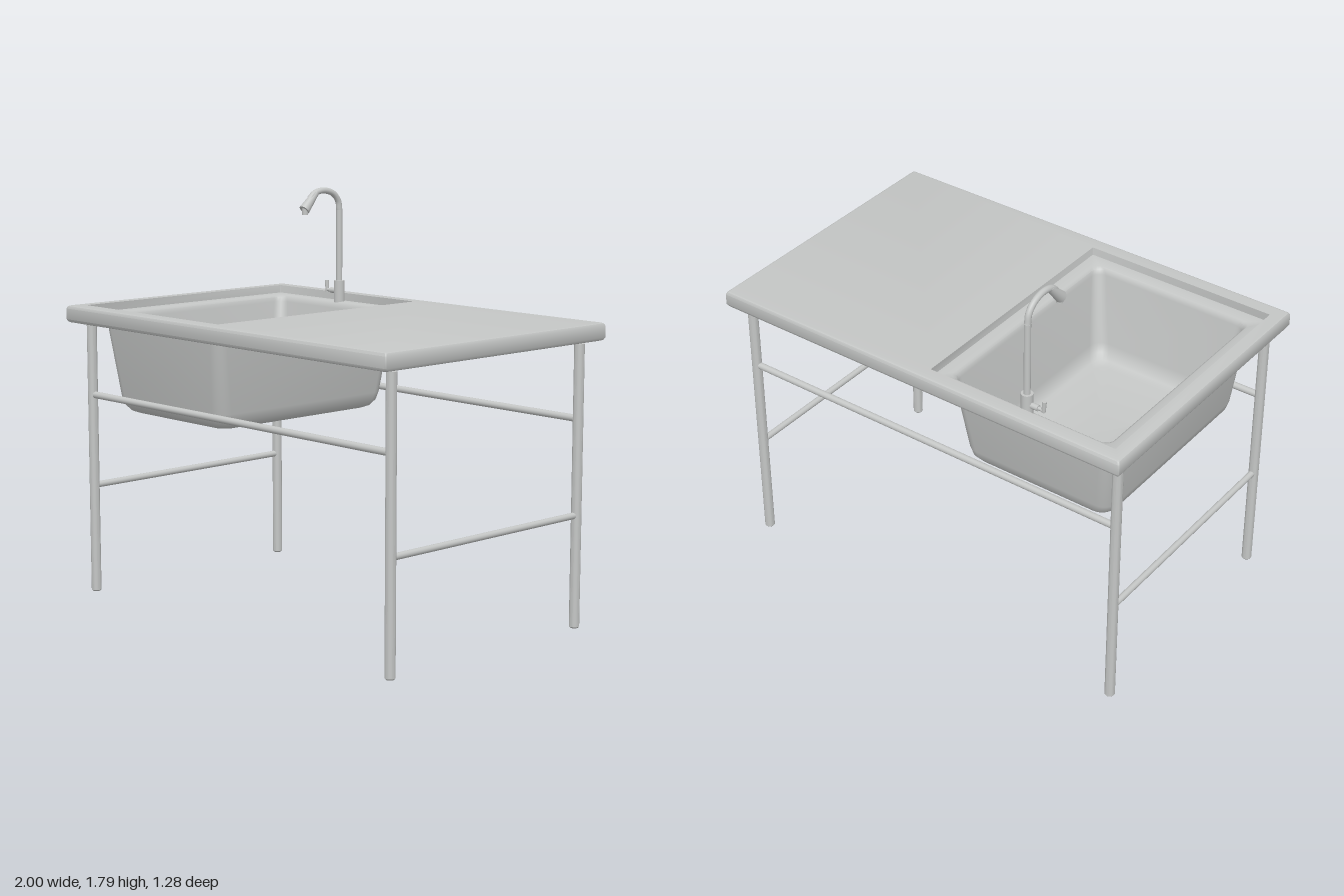
import * as THREE from 'three';
import { toCreasedNormals } from 'three/addons/utils/BufferGeometryUtils.js';

const steel = new THREE.MeshStandardMaterial({ color: 0xc4c6c5 });
steel.name = 'brushedSteel';

// Rounded rectangle cross-section: [x0, x1, z0, z1, y, corner radius]
function ring([x0, x1, z0, z1, y, r]) {
  const pts = [], steps = 6;
  const corners = [[x1 - r, z1 - r], [x0 + r, z1 - r], [x0 + r, z0 + r], [x1 - r, z0 + r]];
  corners.forEach(([cx, cz], c) => {
    for (let i = 0; i <= steps; i++) {
      const a = (c + i / steps) * Math.PI / 2;
      pts.push([cx + r * Math.cos(a), y, cz + r * Math.sin(a)]);
    }
  });
  return pts;
}

// Skin joining successive cross-sections
function loft(sections, crease = 0.7) {
  const rings = sections.map(ring), n = rings[0].length, index = [];
  for (let j = 0; j < rings.length - 1; j++) {
    for (let i = 0; i < n; i++) {
      const k = (i + 1) % n, a = j * n + i, b = j * n + k, c = a + n, d = b + n;
      index.push(a, c, b, b, c, d);
    }
  }
  const g = new THREE.BufferGeometry();
  g.setAttribute('position', new THREE.Float32BufferAttribute(rings.flat(2), 3));
  g.setIndex(index);
  return toCreasedNormals(g, crease);
}

export function createModel() {
  const model = new THREE.Group();
  model.name = 'sinkTable';

  const add = (name, geometry, parent = model) => {
    const mesh = new THREE.Mesh(geometry, steel);
    mesh.name = name;
    parent.add(mesh);
    return mesh;
  };
  // Round bar between two points
  const bar = (name, from, to, r0, r1 = r0, parent = model) => {
    const a = new THREE.Vector3(...from), b = new THREE.Vector3(...to);
    const dir = b.clone().sub(a);
    const mesh = add(name, new THREE.CylinderGeometry(r1, r0, dir.length(), 20), parent);
    mesh.position.copy(a).add(b).multiplyScalar(0.5);
    mesh.quaternion.setFromUnitVectors(new THREE.Vector3(0, 1, 0), dir.normalize());
    return mesh;
  };

  // Basin outside, from the bottom centre up to the counter
  const basinTop = [-0.885, -0.105, -0.525, 0.525, 1.22, 0.05];
  add('basinOutside', loft([
    [-0.5, -0.5, 0, 0, 0.82, 0],
    [-0.80, -0.19, -0.425, 0.425, 0.82, 0.05],
    [-0.825, -0.165, -0.45, 0.45, 0.83, 0.06],
    [-0.845, -0.148, -0.47, 0.47, 0.855, 0.06],
    [-0.855, -0.14, -0.48, 0.48, 0.89, 0.06],
    basinTop,
  ]));

  // Counter: underside, softly rounded edge and top around the opening
  const slab = (inset, y) => [-1 + inset, 1 - inset, -0.64 + inset, 0.64 - inset, y, 0.005];
  const opening = [-0.94, -0.05, -0.575, 0.57, 1.295, 0.003];
  add('counter', loft([
    basinTop,
    slab(0.014, 1.22), slab(0.006, 1.223), slab(0, 1.234),
    slab(0, 1.281), slab(0.006, 1.292), slab(0.014, 1.295),
    opening,
  ]));

  // Recessed ledge and basin inside, down to the floor
  add('basinInside', loft([
    opening,
    [-0.938, -0.052, -0.573, 0.568, 1.26, 0.003],
    [-0.885, -0.105, -0.53, 0.515, 1.258, 0.035],
    [-0.874, -0.116, -0.52, 0.507, 1.25, 0.04],
    [-0.868, -0.122, -0.514, 0.502, 1.23, 0.045],
    [-0.835, -0.155, -0.475, 0.467, 0.91, 0.06],
    [-0.825, -0.165, -0.463, 0.455, 0.87, 0.06],
    [-0.805, -0.185, -0.443, 0.435, 0.845, 0.06],
    [-0.775, -0.215, -0.41, 0.40, 0.835, 0.05],
    [-0.5, -0.5, 0, 0, 0.835, 0],
  ]));

  // Legs with slightly rounded feet
  const legProfile = [[0, 0], [0.017, 0], [0.022, 0.006], [0.022, 1.21], [0, 1.21]]
    .map(([x, y]) => new THREE.Vector2(x, y));
  const legGeometry = toCreasedNormals(new THREE.LatheGeometry(legProfile, 20), 0.6);
  const legX = 0.938, legZ = 0.547;
  for (const [zName, sz] of [['front', 1], ['back', -1]]) {
    for (const [xName, sx] of [['Left', 1], ['Right', -1]]) {
      add(`${zName}${xName}Leg`, legGeometry).position.set(sx * legX, 0, sz * legZ);
    }
    bar(`${zName}Rail`, [-0.92, 0.895, sz * legZ], [0.92, 0.895, sz * legZ], 0.015);
  }
  for (const [name, sx] of [['left', 1], ['right', -1]]) {
    bar(`${name}Rail`, [sx * legX, 0.485, -0.53], [sx * legX, 0.485, 0.53], 0.014);
  }

  // Faucet
  const faucet = new THREE.Group();
  faucet.name = 'faucet';
  faucet.position.set(-0.505, 0, -0.547);
  model.add(faucet);
  bar('faucetBase', [0, 1.255, 0], [0, 1.355, 0], 0.025, 0.025, faucet);
  bar('riser', [0, 1.35, 0], [0, 1.68, 0], 0.014, 0.014, faucet);
  const neck = new THREE.CatmullRomCurve3([
    [1.68, 0], [1.72, 0.007], [1.753, 0.035], [1.77, 0.08],
    [1.771, 0.12], [1.758, 0.16], [1.735, 0.185],
  ].map(([y, z]) => new THREE.Vector3(0, y, z)));
  add('gooseneck', new THREE.TubeGeometry(neck, 28, 0.014, 16), faucet);
  bar('spoutHead', [0, 1.765, 0.145], [0, 1.69, 0.217], 0.015, 0.025, faucet);
  bar('nozzle', [0, 1.70, 0.212], [0, 1.667, 0.212], 0.014, 0.014, faucet);

  // Side valve with an upright lever
  bar('valveBody', [0, 1.306, 0], [-0.055, 1.306, 0], 0.013, 0.013, faucet);
  bar('valveStem', [-0.05, 1.306, 0], [-0.085, 1.306, 0], 0.008, 0.008, faucet);
  bar('lever', [-0.08, 1.298, 0], [-0.083, 1.35, 0], 0.008, 0.010, faucet);

  return model;
}
